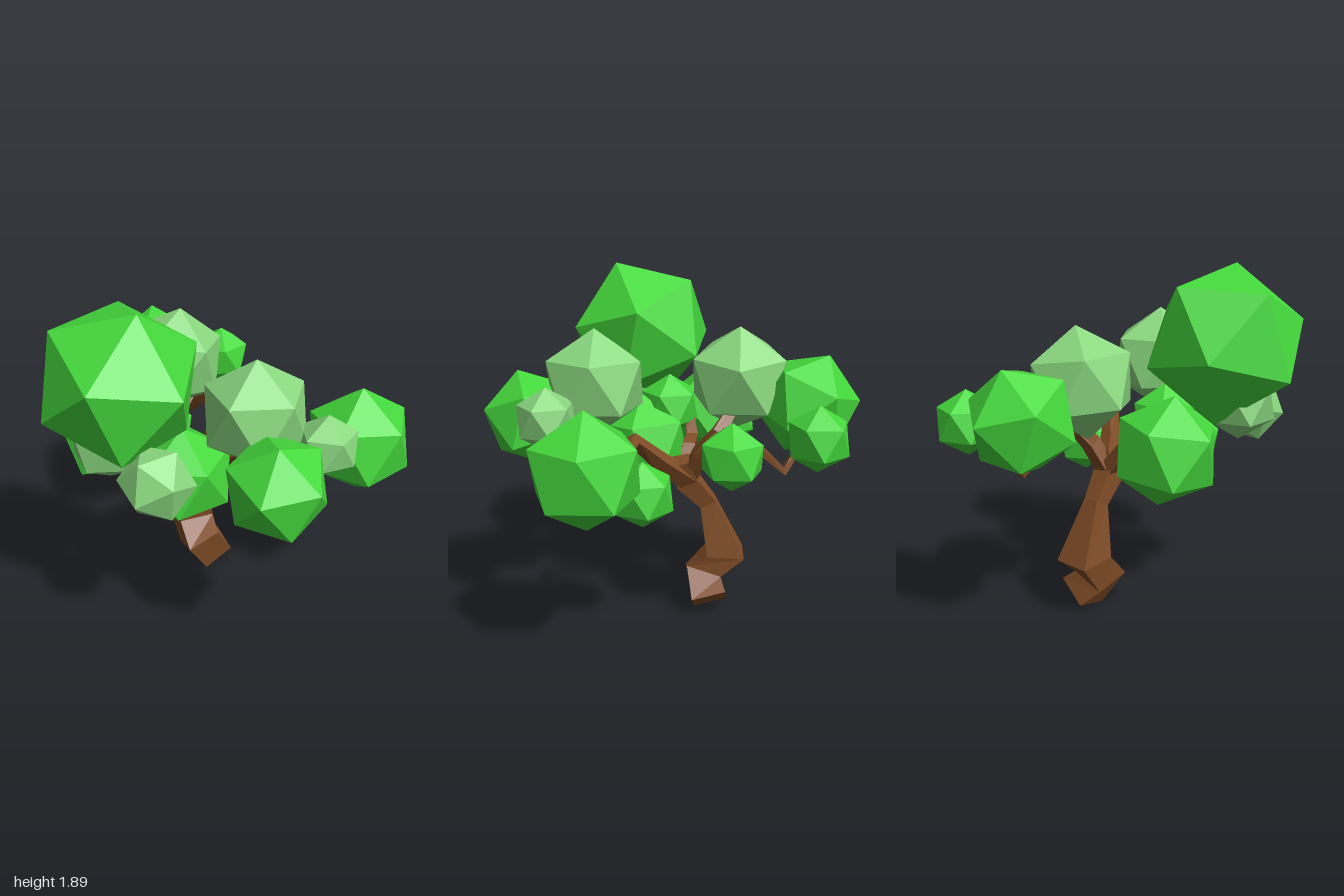
import * as THREE from 'three';

const V = (a) => new THREE.Vector3(...a);
const material = (color) => new THREE.MeshStandardMaterial({ color, flatShading: true });

// Angular limb: a four-sided cylinder whose rings follow nodes [x, y, z, radius]
function limb(name, nodes, mat) {
  const n = nodes.length - 1;
  const points = nodes.map((p) => V(p.slice(0, 3)));
  const turns = points.map((p, i) => {
    const dir = points[Math.min(i + 1, n)].clone().sub(points[Math.max(i - 1, 0)]).normalize();
    return new THREE.Quaternion().setFromUnitVectors(V([0, 1, 0]), dir);
  });
  const geo = new THREE.CylinderGeometry(1, 1, 1, 4, n, false, Math.PI / 4);
  const pos = geo.attributes.position;
  const v = new THREE.Vector3();
  for (let i = 0; i < pos.count; i++) {
    v.fromBufferAttribute(pos, i);
    const row = Math.round((v.y + 0.5) * n);
    v.y = 0;
    v.multiplyScalar(nodes[row][3]).applyQuaternion(turns[row]).add(points[row]);
    pos.setXYZ(i, v.x, v.y, v.z);
  }
  geo.computeVertexNormals();
  const mesh = new THREE.Mesh(geo, mat);
  mesh.name = name;
  return mesh;
}

// Matrix with one axis along tip and the second leaning toward side
function basis(tip, side) {
  const a = tip.clone().normalize();
  const b = side.clone().addScaledVector(a, -side.dot(a)).normalize();
  return new THREE.Matrix4().makeBasis(a, b, a.clone().cross(b));
}

// Leaf clump: an icosahedron with one corner at tip and a neighbour toward side
function clump(name, [x, y, z, r], tip, side, mat) {
  const phi = (1 + Math.sqrt(5)) / 2;
  const geo = new THREE.IcosahedronGeometry(r, 0);
  geo.applyMatrix4(basis(V([-1, phi, 0]), V([1, phi, 0])).invert());
  geo.applyMatrix4(basis(V(tip), V(side)));
  const mesh = new THREE.Mesh(geo, mat);
  mesh.position.set(x, y, z);
  mesh.name = name;
  return mesh;
}

export function createModel() {
  const tree = new THREE.Group();
  tree.name = 'tree';
  const bark = material(0x804c26);
  const green = material(0x45d93c);
  const pale = material(0x8bd980);

  // Crooked trunk
  tree.add(limb('trunk', [
    [0.085, 0.05, -0.205, 0.135], [-0.015, 0.18, -0.165, 0.14], [-0.02, 0.3, -0.29, 0.145],
    [-0.015, 0.6, -0.19, 0.065], [0, 0.74, -0.07, 0.085], [0.04, 0.86, -0.04, 0.065],
  ], bark));

  // Branches reaching into the clumps
  const branches = {
    rightBranch: [[0, 0.72, -0.1, 0.065], [0.12, 0.87, 0.06, 0.055], [0.24, 1.03, 0.2, 0.04], [0.5, 0.94, 0.28, 0.03]],
    leftBranch: [[0, 0.74, -0.09, 0.06], [-0.12, 0.89, -0.08, 0.05], [-0.2, 0.92, -0.1, 0.045], [-0.32, 1.03, -0.08, 0.035]],
    backBranch: [[0, 0.74, -0.08, 0.06], [0.07, 0.9, -0.14, 0.055], [0.12, 1.04, -0.24, 0.05], [0, 1.2, -0.35, 0.03]],
    farBackBranch: [[0.12, 1.04, -0.25, 0.04], [0.1, 0.97, -0.43, 0.032], [0.12, 0.83, -0.59, 0.032], [0.06, 1.0, -0.7, 0.025]],
  };
  for (const [name, nodes] of Object.entries(branches)) tree.add(limb(name, nodes, bark));

  // Leaf clumps: name, [x, y, z, radius], material, tip corner, neighbouring corner
  const up = [0, 1, 0];
  const clumps = [
    ['crownLeaves', [-0.55, 1.475, 0.195, 0.415], green, [0.05, 0.37, 0.14], [0.17, 0.09, 0.36]],
    ['upperFrontLeaves', [0.06, 1.29, 0.41, 0.287], pale, up, [1, 0.4, 0]],
    ['upperBackLeaves', [-0.08, 1.29, -0.35, 0.287], pale, [0.04, 0.27, 0], [0.11, 0.1, -0.26]],
    ['backLeaves', [-0.04, 1.16, -0.715, 0.285], green, [0, 0.92, -0.39], [0, 0.06, -1]],
    ['rightLeaves', [0.675, 1.005, 0.395, 0.297], green, up, [1, 0.4, 0]],
    ['frontLeaves', [0.015, 1.085, 0.755, 0.268], green, [-0.04, 0.25, 0.08], [0.22, 0.15, 0]],
    ['leftBackLeaves', [-0.515, 0.995, -0.21, 0.28], green, [-0.1, 1, 0.1], [-0.3, 0.4, -0.9]],
    ['lowerFrontLeaves', [-0.23, 0.885, 0.175, 0.275], green, [0.1, 0.4, 0.9], [0.9, 0.5, 0.2]],
    ['smallLeaves', [-0.49, 1.085, 0.51, 0.19], pale, [0.1, 0.3, 1], [0.5, 0.9, 0.3]],
    ['smallLeaves', [0.345, 1.165, 0.625, 0.165], pale, up, [0.9, 0.4, 0.3]],
    ['smallLeaves', [-0.63, 1.19, 0.22, 0.2], pale, up, [-1, 0.4, 0]],
    ['smallLeaves', [-0.3, 1.08, 0.03, 0.18], green, up, [0.9, 0.4, 0.3]],
    ['smallLeaves', [0.365, 1.08, -0.73, 0.172], green, up, [0.8, 0.4, 0.5]],
    ['smallLeaves', [0.33, 0.97, -0.305, 0.18], green, up, [0.3, 0.4, -0.9]],
    ['smallLeaves', [0.4, 0.79, 0.145, 0.175], green, up, [0.6, 0.4, -0.7]],
  ];
  for (const [name, ball, mat, tip, side] of clumps) tree.add(clump(name, ball, tip, side, mat));
  return tree;
}
